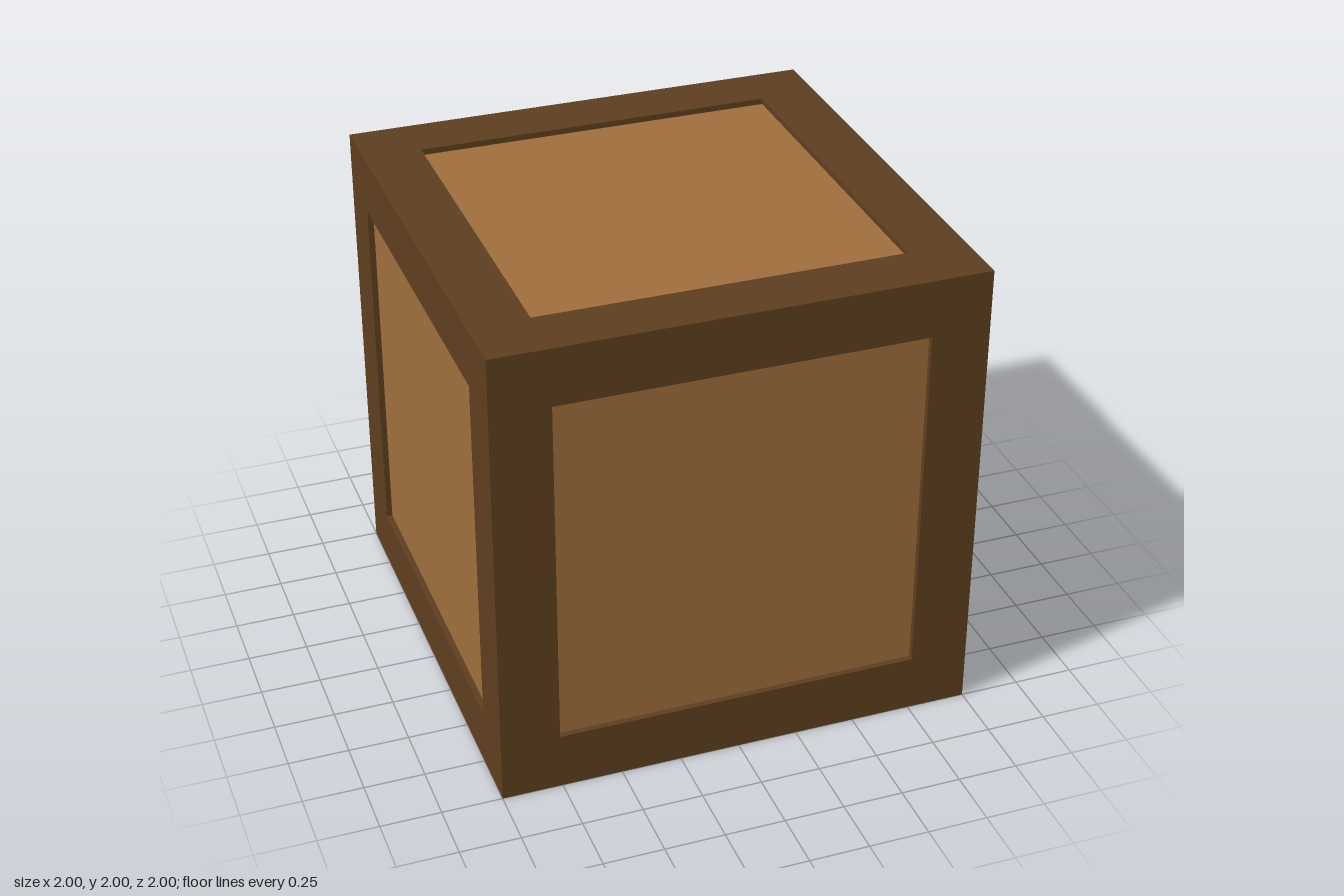
import * as THREE from 'three';

export function createModel() {
  const frameWood = new THREE.MeshStandardMaterial({ color: 0x5e3f20 });
  frameWood.name = 'darkFrameWood';
  const panelWood = new THREE.MeshStandardMaterial({ color: 0xa06e3c });
  panelWood.name = 'lightPanelWood';

  const size = 2;
  const beam = 0.243; // beam thickness
  const recess = 0.025; // depth of the panels below the frame
  const span = size - 2 * beam;
  const offset = (size - beam) / 2;

  const crate = new THREE.Group();
  crate.name = 'crate';

  const addBox = (name, material, w, h, d, x, y, z) => {
    const mesh = new THREE.Mesh(new THREE.BoxGeometry(w, h, d), material);
    mesh.name = name;
    mesh.position.set(x, y + size / 2, z);
    crate.add(mesh);
  };

  // Recessed panels on all six sides, formed by one inner block
  const inner = size - 2 * recess;
  addBox('panels', panelWood, inner, inner, inner, 0, 0, 0);

  // Frame: four full-height posts, with rails fitted between them
  for (const a of [-offset, offset]) {
    for (const b of [-offset, offset]) {
      addBox('cornerPost', frameWood, beam, size, beam, a, 0, b);
      addBox('crossRail', frameWood, span, beam, beam, 0, a, b);
      addBox('sideRail', frameWood, beam, beam, span, a, b, 0);
    }
  }

  return crate;
}
